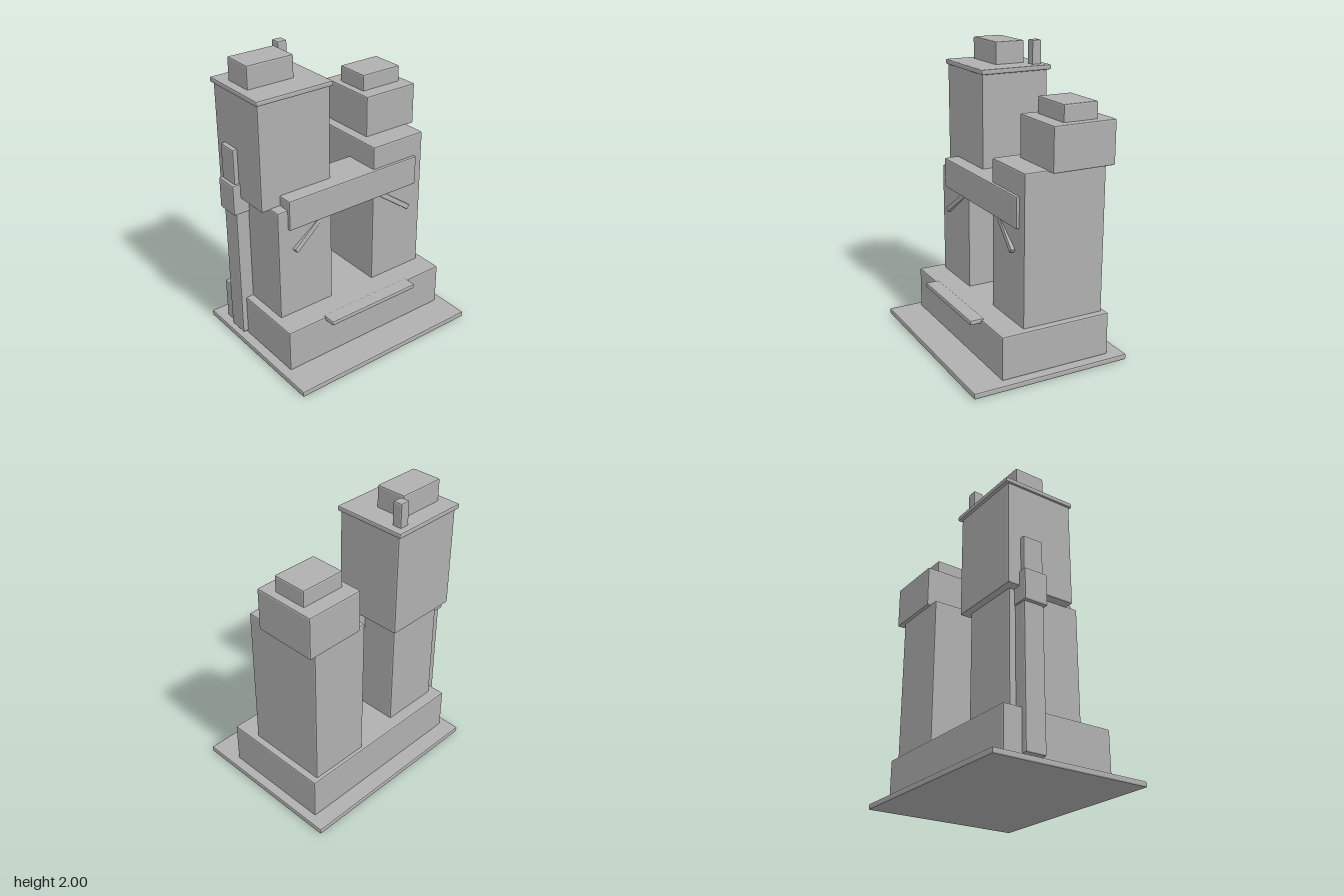
import * as THREE from 'three';
import { RoundedBoxGeometry } from 'three/addons/geometries/RoundedBoxGeometry.js';

export function createModel() {
  const model = new THREE.Group();
  const stone = new THREE.MeshStandardMaterial({ color: 0xb0b0b0 });
  stone.name = 'plain grey';

  // Box with narrow flat bevels
  const bevelled = (w, h, d, bevel = 0.01) => {
    const geometry = new RoundedBoxGeometry(w, h, d, 1, bevel);
    geometry.computeVertexNormals();
    return geometry;
  };

  // Block placed by its limits on each axis
  const block = (name, [x0, x1], [y0, y1], [z0, z1], parent = model) => {
    const mesh = new THREE.Mesh(bevelled(x1 - x0, y1 - y0, z1 - z0), stone);
    mesh.name = name;
    mesh.position.set((x0 + x1) / 2, (y0 + y1) / 2, (z0 + z1) / 2);
    parent.add(mesh);
    return mesh;
  };

  const group = (name) => {
    const g = new THREE.Group();
    g.name = name;
    model.add(g);
    return g;
  };

  // Ground slab, plinth and front ledge
  block('groundSlab', [-0.7, 0.7], [0, 0.04], [-0.555, 0.555]);
  block('plinth', [-0.64, 0.64], [0.04, 0.335], [-0.443, 0.333]);
  block('frontLedge', [-0.355, 0.353], [0.31, 0.343], [0.31, 0.41]);

  // Tall tower with an overhanging upper storey
  const tall = group('tallTower');
  block('tallTowerBase', [-0.585, -0.17], [0.32, 1.11], [-0.36, 0.16], tall);
  block('tallTowerUpper', [-0.645, -0.117], [1.1, 1.815], [-0.408, 0.078], tall);
  block('tallTowerRoof', [-0.657, -0.1], [1.805, 1.84], [-0.43, 0.09], tall);
  block('roofHouse', [-0.597, -0.26], [1.83, 1.99], [-0.31, -0.095], tall);
  block('chimney', [-0.225, -0.155], [1.83, 2.0], [-0.385, -0.315], tall);

  // Short tower with a stepped top
  const short = group('shortTower');
  block('shortTowerBase', [0.175, 0.593], [0.32, 1.335], [-0.418, 0.16], short);
  block('shortTowerUpper', [0.243, 0.653], [1.325, 1.615], [-0.443, 0], short);
  block('shortTowerCap', [0.29, 0.6], [1.605, 1.725], [-0.34, -0.098], short);

  // Bridge between the towers
  block('bridge', [-0.51, 0.53], [0.97, 1.178], [-0.1, 0.18]);

  // Slanted braces under the bridge
  for (const side of [-1, 1]) {
    const low = new THREE.Vector3(side * 0.47, 0.81, 0.172);
    const high = new THREE.Vector3(side * 0.22, 0.99, 0.143);
    const along = high.clone().sub(low);
    const brace = new THREE.Mesh(bevelled(0.035, along.length(), 0.033, 0.005), stone);
    brace.name = side > 0 ? 'leftBrace' : 'rightBrace';
    brace.position.copy(low).add(high).multiplyScalar(0.5);
    brace.quaternion.setFromUnitVectors(new THREE.Vector3(0, 1, 0), along.normalize());
    model.add(brace);
  }

  // Duct on the outer wall of the tall tower
  const duct = group('wallDuct');
  block('ductShaft', [-0.677, -0.575], [0.06, 1.44], [-0.317, -0.173], duct);
  block('ductBox', [-0.7, -0.583], [0.99, 1.203], [-0.327, -0.16], duct);

  return model;
}
